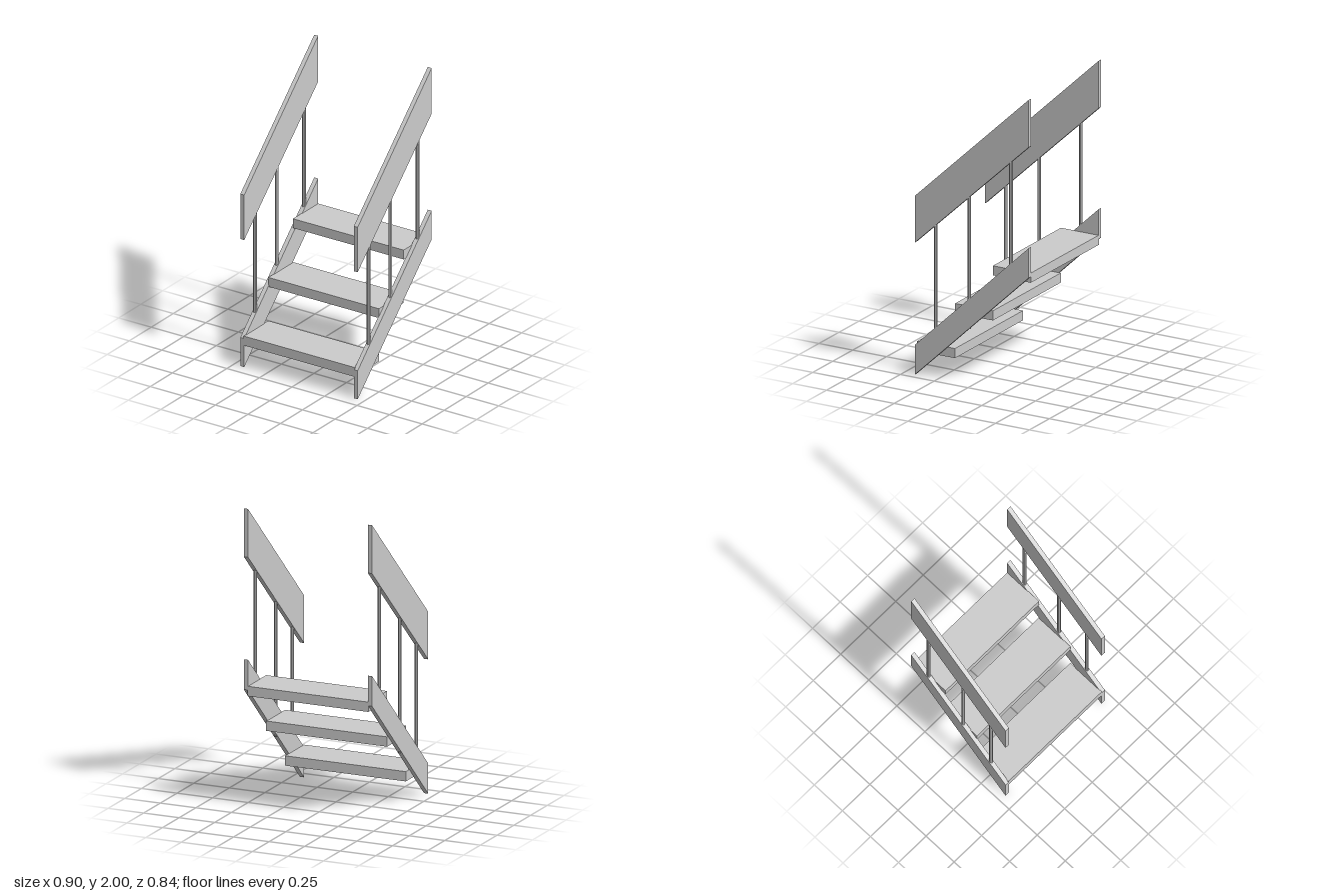
import * as THREE from 'three';

const material = new THREE.MeshStandardMaterial({ color: 0xcccccc, flatShading: true });

// Sloped plank: a parallelogram in the side plane, extruded across x
function plank(name, x, frontLow, frontHigh, backLow, backHigh) {
  const half = 0.42, thickness = 0.03;
  const shape = new THREE.Shape([
    new THREE.Vector2(-half, frontLow),
    new THREE.Vector2(half, backLow),
    new THREE.Vector2(half, backHigh),
    new THREE.Vector2(-half, frontHigh),
  ]);
  const geometry = new THREE.ExtrudeGeometry(shape, { depth: thickness, bevelEnabled: false });
  geometry.translate(0, 0, -thickness / 2);
  geometry.rotateY(Math.PI / 2); // shape x becomes -z
  const mesh = new THREE.Mesh(geometry, material);
  mesh.name = name;
  mesh.position.x = x;
  return mesh;
}

export function createModel() {
  const group = new THREE.Group();
  group.name = 'stairs';

  // Three open treads
  for (let i = 0; i < 3; i++) {
    const tread = new THREE.Mesh(new THREE.BoxGeometry(0.85, 0.065, 0.28), material);
    tread.name = `tread${i + 1}`;
    tread.position.set(0, 0.184 + i * 0.304, 0.28 - i * 0.28);
    group.add(tread);
  }

  // Stringer, handrail and balusters on each side
  const balusters = [
    { z: 0.275, bottom: 0.22, top: 1.1 },
    { z: 0.028, bottom: 0.375, top: 1.36 },
    { z: -0.28, bottom: 0.72, top: 1.64 },
  ];
  for (const [side, s] of [['left', 1], ['right', -1]]) {
    const x = s * 0.436;
    group.add(plank(`${side}Stringer`, x, 0, 0.2, 0.8, 1.0));
    group.add(plank(`${side}Handrail`, x, 0.89, 1.205, 1.68, 2.0));
    balusters.forEach(({ z, bottom, top }, i) => {
      const post = new THREE.Mesh(new THREE.CylinderGeometry(0.012, 0.012, top - bottom, 8), material);
      post.name = `${side}Baluster${i + 1}`;
      post.position.set(x, (top + bottom) / 2, z);
      group.add(post);
    });
  }
  return group;
}
